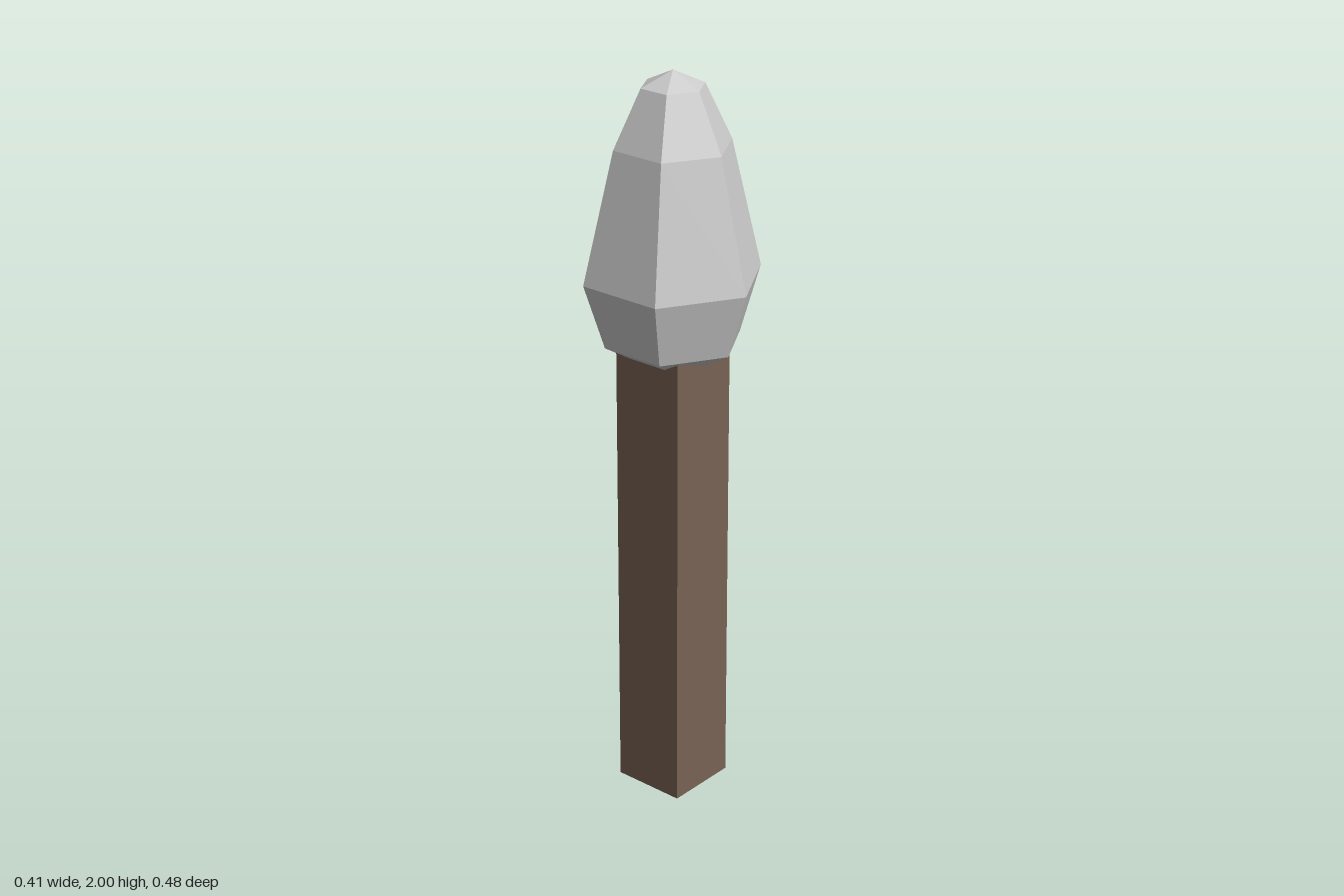
import * as THREE from 'three';

export function createModel() {
  const model = new THREE.Group();

  // Square wooden handle, its top buried inside the head
  const handleHeight = 1.33;
  const handle = new THREE.Mesh(
    new THREE.BoxGeometry(0.206, handleHeight, 0.206),
    new THREE.MeshStandardMaterial({ color: 0x776253, flatShading: true })
  );
  handle.name = 'handle';
  handle.position.y = handleHeight / 2;
  model.add(handle);

  // Six-sided faceted head, profile as [radius, height] from bottom to tip
  const profile = [
    [0, 1.187], [0.183, 1.29], [0.238, 1.465],
    [0.156, 1.81], [0.084, 1.96], [0, 2],
  ].map(([r, y]) => new THREE.Vector2(r, y));
  const head = new THREE.Mesh(
    new THREE.LatheGeometry(profile, 6),
    new THREE.MeshStandardMaterial({ color: 0xcccccc, flatShading: true })
  );
  head.name = 'head';
  model.add(head);

  return model;
}
